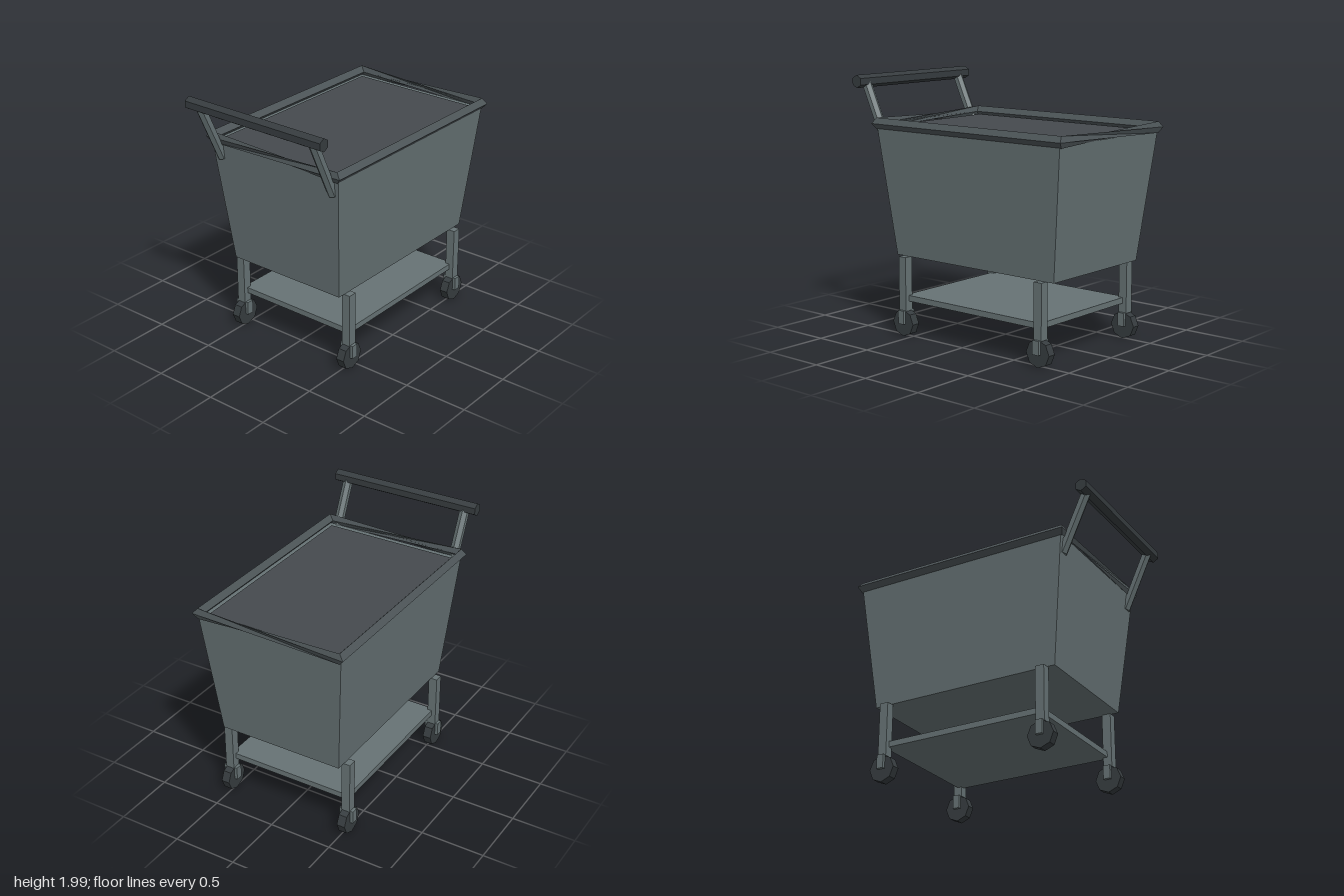
import * as THREE from 'three';

const paint = (color) => new THREE.MeshStandardMaterial({ color, flatShading: true });

export function createModel() {
  const cart = new THREE.Group();
  cart.name = 'cart';
  const steel = paint(0x667274);
  const dark = paint(0x363c3f);
  const lidGrey = paint(0x454a4e);
  const rimGrey = paint(0x4c5457);

  const add = (name, geometry, material, x = 0, y = 0, z = 0, parent = cart) => {
    const mesh = new THREE.Mesh(geometry, material);
    mesh.name = name;
    mesh.position.set(x, y, z);
    parent.add(mesh);
    return mesh;
  };

  const midX = 0.1; // the bin sits off centre because of the handle

  // Tapered bin
  const bin = new THREE.BoxGeometry(2, 1, 2);
  const p = bin.attributes.position;
  for (let i = 0; i < p.count; i++) {
    const top = p.getY(i) > 0;
    p.setXYZ(i, p.getX(i) * (top ? 0.872 : 0.76), top ? 1.6 : 0.62, p.getZ(i) * (top ? 0.587 : 0.5));
  }
  bin.computeVertexNormals();
  add('bin', bin, steel, midX);

  // Flat panel closing the bin
  add('topPanel', new THREE.BoxGeometry(1.64, 0.03, 1.06), lidGrey, midX, 1.595, 0);

  // Rim: diamond section (top, outer, bottom, inner), a quarter twist along the short ends
  add('rim', rimGeometry(), rimGrey, midX);

  // Handle: two hexagonal arms and a hexagonal grip
  const armTop = new THREE.Vector3(-0.957, 1.935, 0);
  const armEnd = new THREE.Vector3(-0.745, 1.476, 0);
  const axis = armTop.clone().sub(armEnd);
  const arm = new THREE.CylinderGeometry(0.038, 0.038, axis.length(), 6);
  arm.rotateY(Math.PI / 2);
  const centre = armTop.clone().add(armEnd).multiplyScalar(0.5);
  for (const s of [1, -1]) {
    const mesh = add('handleArm', arm, steel, centre.x, centre.y, s * 0.515);
    mesh.rotation.z = Math.atan2(-axis.x, axis.y);
  }
  const grip = new THREE.CylinderGeometry(0.05, 0.05, 1.23, 6);
  grip.rotateX(Math.PI / 2);
  add('handleGrip', grip, dark, armTop.x, armTop.y, 0);

  // Lower shelf
  add('shelf', new THREE.BoxGeometry(1.32, 0.045, 1.03), steel, 0.095, 0.297, 0);

  // Legs with casters
  const leg = new THREE.BoxGeometry(0.07, 0.42, 0.07);
  const fork = new THREE.BoxGeometry(0.055, 0.105, 0.025);
  const wheel = new THREE.CylinderGeometry(0.104, 0.104, 0.066, 8);
  wheel.rotateX(Math.PI / 2);
  for (const x of [-0.565, 0.755]) {
    for (const z of [0.515, -0.515]) {
      const unit = new THREE.Group();
      unit.name = 'legWithCaster';
      unit.position.set(x, 0, z);
      cart.add(unit);
      add('leg', leg, steel, 0, 0.41, 0, unit);
      add('wheel', wheel, dark, 0, 0.104, 0, unit);
      for (const s of [1, -1]) add('forkPlate', fork, steel, 0, 0.152, s * 0.045, unit);
    }
  }
  return cart;
}

function rimGeometry() {
  const section = [[0, 1], [1, 0], [0, -1], [-1, 0]];
  // Corner sections, counter-clockwise from the front right
  const corners = [[-1, 1], [1, 1], [1, -1], [-1, -1]].map(([sx, sz]) =>
    section.map(([out, up]) => [
      sx * (0.882 + out * 0.019), 1.628 + up * 0.043, sz * (0.583 + out * 0.037),
    ]));
  const [fl, fr, br, bl] = corners;
  const at = (ring, k) => ring[(k + 4) % 4];
  const points = [];
  const tri = (...corner) => corner.forEach((c) => points.push(...c));
  for (let k = 0; k < 4; k++) {
    // Straight long rails
    for (const [a, b] of [[fl, fr], [br, bl]]) {
      tri(at(a, k), at(a, k + 1), at(b, k + 1));
      tri(at(a, k), at(b, k + 1), at(b, k));
    }
    // Twisted short rails
    tri(at(fr, k - 1), at(fr, k), at(br, k + 1));
    tri(at(fr, k - 1), at(br, k + 1), at(br, k));
    tri(at(bl, k), at(bl, k + 1), at(fl, k - 1));
    tri(at(bl, k + 1), at(fl, k), at(fl, k - 1));
  }
  const geometry = new THREE.BufferGeometry();
  geometry.setAttribute('position', new THREE.Float32BufferAttribute(points, 3));
  geometry.computeVertexNormals();
  return geometry;
}
